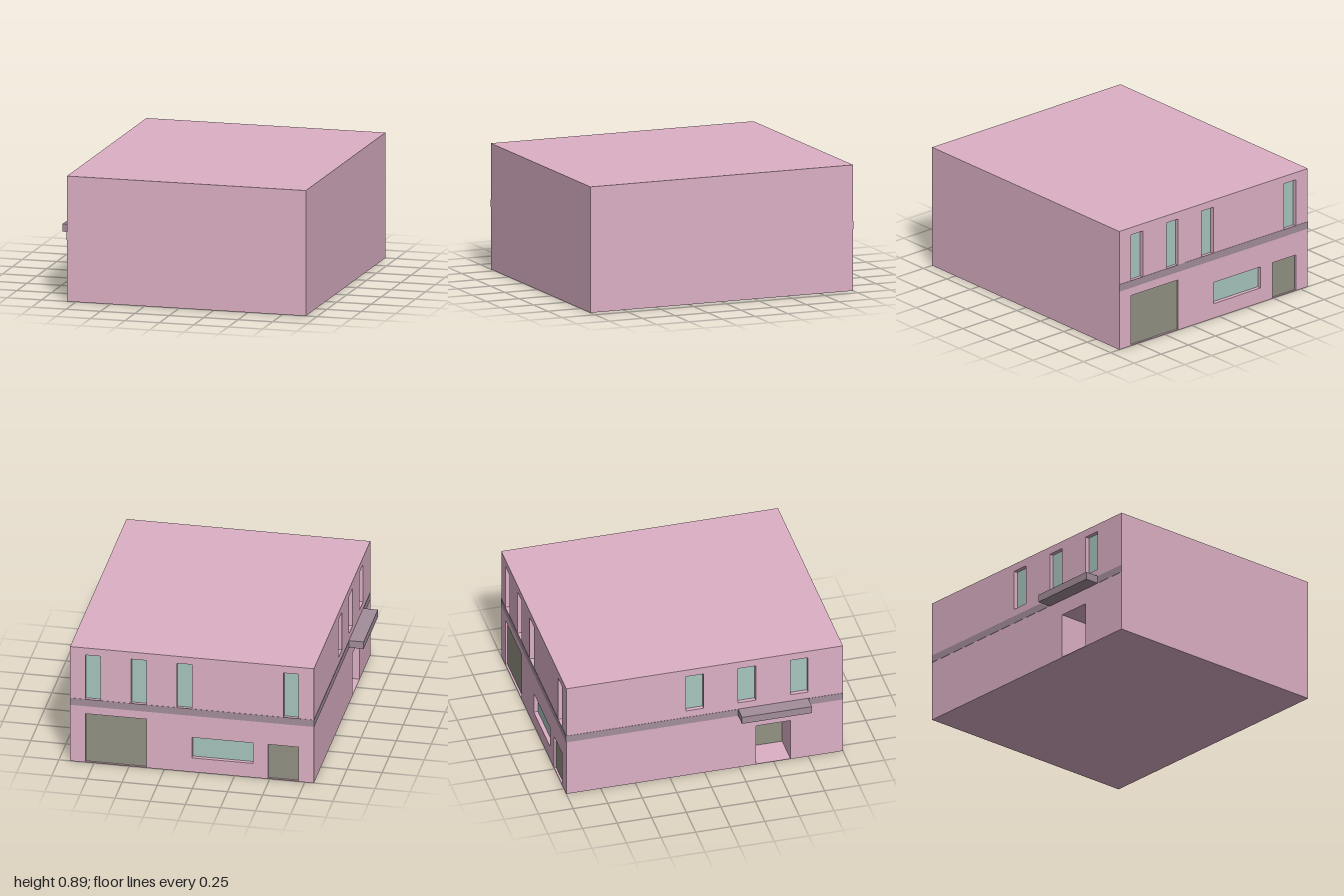
import * as THREE from 'three';

const mat = (color, side = THREE.FrontSide) => new THREE.MeshStandardMaterial({ color, side });
const PINK = 0xdcb0c5, TRIM = 0xa38e9b, GLASS = 0xa7c5be, DOOR = 0x929182;
const H = 0.895, X0 = -0.815, X1 = 0.92, W = X1 - X0, U = W / 16, SILL = 0.004;

function add(parent, name, geometry, material, x = 0, y = 0, z = 0) {
  const mesh = new THREE.Mesh(geometry, material);
  mesh.name = name;
  mesh.position.set(x, y, z);
  parent.add(mesh);
  return mesh;
}

// Box that keeps only the listed faces (order: +x -x +y -y +z -z)
function partialBox(w, h, d, faces) {
  const g = new THREE.BoxGeometry(w, h, d);
  const all = Array.from(g.index.array);
  g.setIndex(faces.flatMap((f) => all.slice(f * 6, f * 6 + 6)));
  g.clearGroups();
  return g;
}

// Flat wall facing local +z with recessed openings: { name, a, b, y0, y1, depth, color }
function facade(name, a, b, openings) {
  const group = new THREE.Group();
  group.name = name;
  const rect = (C, l, r, lo, hi) => {
    const s = new C();
    s.moveTo(l, lo);
    s.lineTo(r, lo);
    s.lineTo(r, hi);
    s.lineTo(l, hi);
    s.closePath();
    return s;
  };
  const wall = rect(THREE.Shape, a, b, 0, H);
  for (const o of openings) {
    wall.holes.push(rect(THREE.Path, o.a, o.b, o.y0, o.y1));
    const w = o.b - o.a, h = o.y1 - o.y0, x = (o.a + o.b) / 2, y = (o.y0 + o.y1) / 2;
    add(group, o.name + 'Reveal', partialBox(w, h, o.depth, [0, 1, 2, 3]),
      mat(PINK, THREE.DoubleSide), x, y, -o.depth / 2);
    add(group, o.name, new THREE.PlaneGeometry(w, h), mat(o.color), x, y, -o.depth);
  }
  add(group, name + 'Wall', new THREE.ShapeGeometry(wall), mat(PINK));
  // Storey band
  add(group, 'storeyBand', new THREE.BoxGeometry(b - a, 0.054, 0.004), mat(TRIM),
    (a + b) / 2, 0.467, 0);
  return group;
}

export function createModel() {
  const model = new THREE.Group();

  // Roof, base and the two plain walls
  add(model, 'buildingShell', partialBox(W, H, 2, [0, 2, 3, 4]), mat(PINK), (X0 + X1) / 2, H / 2, 0);

  // Back facade, laid out on a 16-unit grid starting at the +x corner
  const bay = (name, start, width, y0, y1, depth, color) => ({
    name, a: -X1 + start * U, b: -X1 + (start + width) * U, y0, y1, depth, color,
  });
  const back = facade('backFacade', -X1, -X0, [
    ...[1, 4, 7, 14].map((s) => bay('upperWindow', s, 1, 0.49, 0.84, 0.03, GLASS)),
    bay('garageDoor', 1, 4, SILL, 0.38, 0.015, DOOR),
    bay('ribbonWindow', 8, 4, 0.11, 0.27, 0.03, GLASS),
    bay('serviceDoor', 13, 2, SILL, 0.27, 0.015, DOOR),
  ]);
  back.rotation.y = Math.PI;
  back.position.z = -1;
  model.add(back);

  // Entrance facade with three windows and a deep doorway
  const entrance = facade('entranceFacade', -1, 1, [
    ...[-0.135, 0.242, 0.62].map((z) => (
      { name: 'sideWindow', a: z, b: z + 0.128, y0: 0.548, y1: 0.84, depth: 0.03, color: GLASS })),
    { name: 'entranceDoor', a: 0.372, b: 0.62, y0: SILL, y1: 0.328, depth: 0.22, color: DOOR },
  ]);
  entrance.rotation.y = -Math.PI / 2;
  entrance.position.x = X0;
  model.add(entrance);

  // Canopy over the entrance
  add(model, 'entranceCanopy', new THREE.BoxGeometry(0.105, 0.055, 0.506), mat(TRIM),
    X0 - 0.0525, 0.4675, 0.495);

  return model;
}
